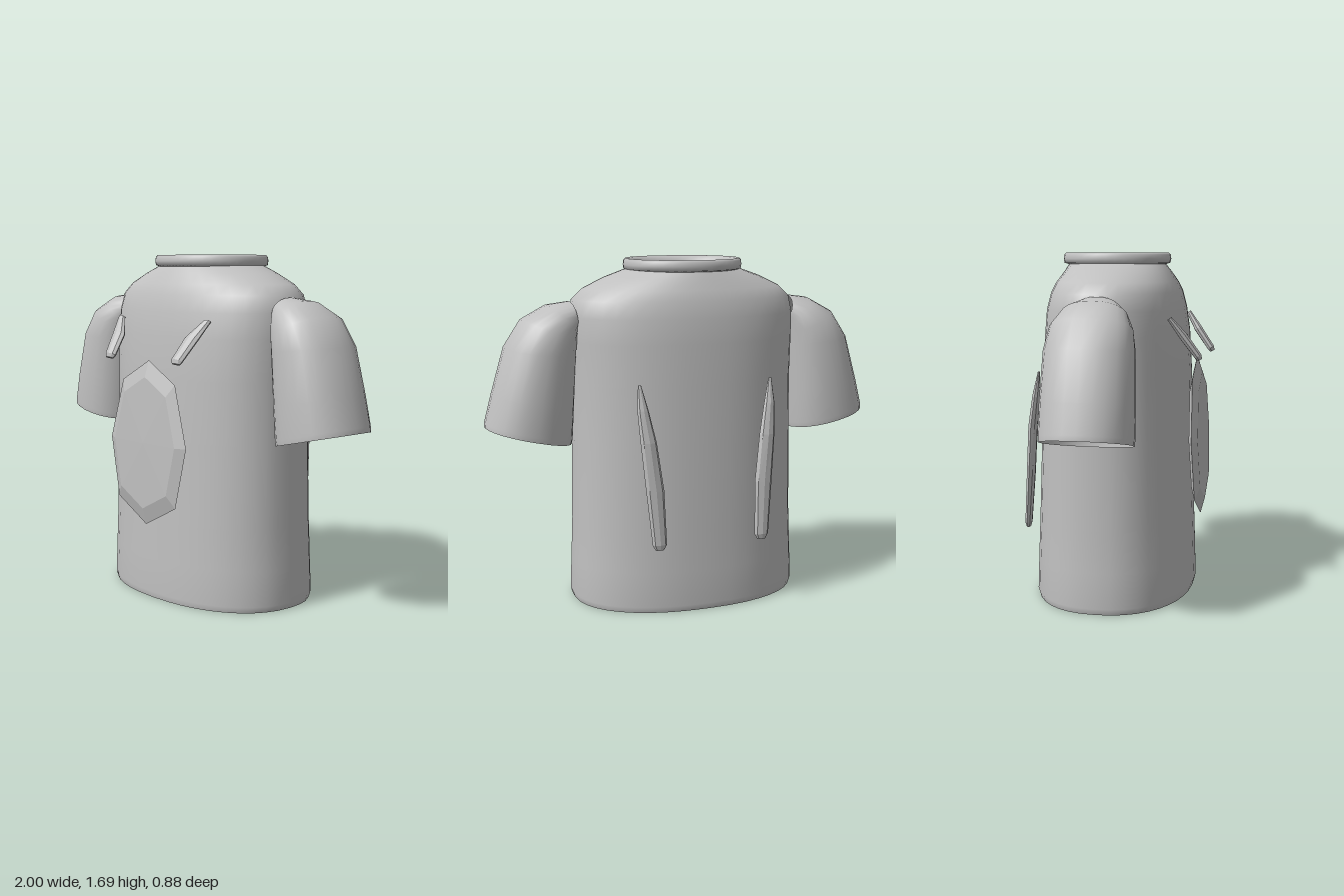
import * as THREE from 'three';

const V = (x, y, z) => new THREE.Vector3(x, y, z);

// Skin between closed rings of points; outward when rings run upward.
function loft(rings, flat = false) {
  const n = rings[0].length, idx = [];
  const pos = rings.flatMap(r => r.flatMap(p => [p.x, p.y, p.z]));
  for (let i = 0; i < rings.length - 1; i++) {
    for (let j = 0; j < n; j++) {
      const a = i * n + j, b = i * n + (j + 1) % n;
      idx.push(a, a + n, b, b, a + n, b + n);
    }
  }
  let g = new THREE.BufferGeometry();
  g.setAttribute('position', new THREE.Float32BufferAttribute(pos, 3));
  g.setIndex(idx);
  if (flat) g = g.toNonIndexed();
  g.computeVertexNormals();
  return g;
}

// Rounded-oval ring; u runs along the first axis, v along the second.
function oval(n, power, place) {
  return Array.from({ length: n }, (_, i) => {
    const t = i / n * Math.PI * 2, c = Math.cos(t), s = Math.sin(t), e = 2 / power;
    return place(Math.sign(c) * Math.abs(c) ** e, Math.sign(s) * Math.abs(s) ** e);
  });
}

// Tapered spike with closed ends; stations are [x, y, z, halfWidth, halfThickness], bottom first.
function spike(stations, s) {
  const rings = stations.map(([x, y, z, w, d], i) => {
    const a = stations[Math.max(i - 1, 0)], b = stations[Math.min(i + 1, stations.length - 1)];
    const dir = V(0, b[1] - a[1], b[2] - a[2]).normalize();
    return oval(8, 2, (u, v) => V(s * x + u * w, y - v * d * dir.z, z + v * d * dir.y));
  });
  const cap = ([x, y, z]) => Array.from({ length: 8 }, () => V(s * x, y, z));
  return loft([cap(stations[0]), ...rings, cap(stations[stations.length - 1])], true);
}

export function createModel() {
  const group = new THREE.Group();
  const cloth = new THREE.MeshStandardMaterial({ color: 0xc0c0c0, side: THREE.DoubleSide });
  cloth.name = 'grey cloth';
  const add = (name, geometry) => {
    const m = new THREE.Mesh(geometry, cloth);
    m.name = name;
    group.add(m);
  };

  // Torso: [y, halfWidth, front z, back z, roundness power]
  const torso = [
    [0, 0.575, 0.37, -0.397, 2.25], [0.03, 0.585, 0.377, -0.405, 2.25],
    [0.2, 0.578, 0.372, -0.4, 2.25], [0.4, 0.57, 0.365, -0.392, 2.25],
    [0.8, 0.565, 0.353, -0.378, 2.25], [1.1, 0.565, 0.347, -0.365, 2.25],
    [1.3, 0.572, 0.335, -0.355, 2.25], [1.42, 0.575, 0.318, -0.345, 2.2],
    [1.5, 0.56, 0.298, -0.325, 2.15], [1.55, 0.505, 0.275, -0.305, 2.1],
    [1.6, 0.4, 0.245, -0.275, 2], [1.635, 0.3, 0.22, -0.258, 2], [1.645, 0.27, 0.21, -0.245, 2],
  ];
  add('torso', loft(torso.map(([y, w, f, b, p]) =>
    oval(40, p, (u, v) => V(u * w, y, (f + b) / 2 + v * (f - b) / 2)))));

  // Collar band: [halfWidth, halfDepth, y], closed back on its first ring
  const collar = [
    [0.26, 0.215, 1.645], [0.275, 0.24, 1.633], [0.291, 0.262, 1.64], [0.294, 0.266, 1.66],
    [0.292, 0.263, 1.68], [0.283, 0.253, 1.69], [0.27, 0.237, 1.686], [0.26, 0.218, 1.67],
    [0.26, 0.215, 1.645],
  ];
  add('collar', loft(collar.map(([w, d, y]) =>
    oval(40, 2.1, (u, v) => V(u * w, y, -0.02 + v * d)))));

  // Sleeves bend down from the armpit: [inner x, inner y, outer x, outer y, halfDepth]
  const sleeve = [
    [0.585, 0.805, 1.0, 0.9, 0.212], [0.58, 0.83, 0.997, 0.925, 0.214],
    [0.57, 1.0, 0.96, 1.06, 0.213], [0.555, 1.24, 0.895, 1.28, 0.205],
    [0.55, 1.3, 0.81, 1.41, 0.188], [0.55, 1.33, 0.685, 1.478, 0.155],
    [0.55, 1.36, 0.575, 1.492, 0.11],
  ];
  for (const s of [1, -1]) {
    const side = s > 0 ? 'left' : 'right';
    const rings = sleeve.map(([ix, iy, ox, oy, d]) => oval(24, 2.2, (u, v) =>
      V(s * ((ix + ox) / 2 + u * (ox - ix) / 2), (iy + oy) / 2 + u * (oy - iy) / 2, v * d)));
    add(side + 'Sleeve', loft(s > 0 ? rings : rings.reverse()));

    // Short chest spikes and long back spikes
    add(side + 'ChestSpike', spike([
      [0.258, 1.185, 0.43, 0.028, 0.012], [0.257, 1.2, 0.423, 0.038, 0.018],
      [0.28, 1.3, 0.352, 0.045, 0.02], [0.328, 1.383, 0.295, 0.022, 0.012],
    ], s));
    add(side + 'BackSpike', spike([
      [0.265, 0.335, -0.42, 0.022, 0.01], [0.265, 0.36, -0.42, 0.036, 0.016],
      [0.28, 0.62, -0.4, 0.045, 0.02], [0.305, 0.85, -0.382, 0.04, 0.022],
      [0.325, 1.0, -0.36, 0.028, 0.018], [0.335, 1.12, -0.34, 0.008, 0.006],
    ], s));
  }

  // Belly plate: faceted lens leaning slightly forward at the bottom
  const outline = [[0.29, 0.785], [0.2, 1.08], [0, 1.185], [-0.2, 1.08],
    [-0.29, 0.785], [-0.22, 0.49], [0, 0.38], [0.22, 0.49]];
  const plateRing = (k, dz) => outline.map(([x, y]) => {
    const py = 0.785 + (y - 0.785) * k;
    return V(x * k, py, 0.397 - (py - 0.785) * 0.03 + dz);
  });
  add('bellyPlate', loft([plateRing(0, 0.03), plateRing(0.8, 0.024), plateRing(1, 0),
    plateRing(0.8, -0.02), plateRing(0, -0.024)], true));

  return group;
}
